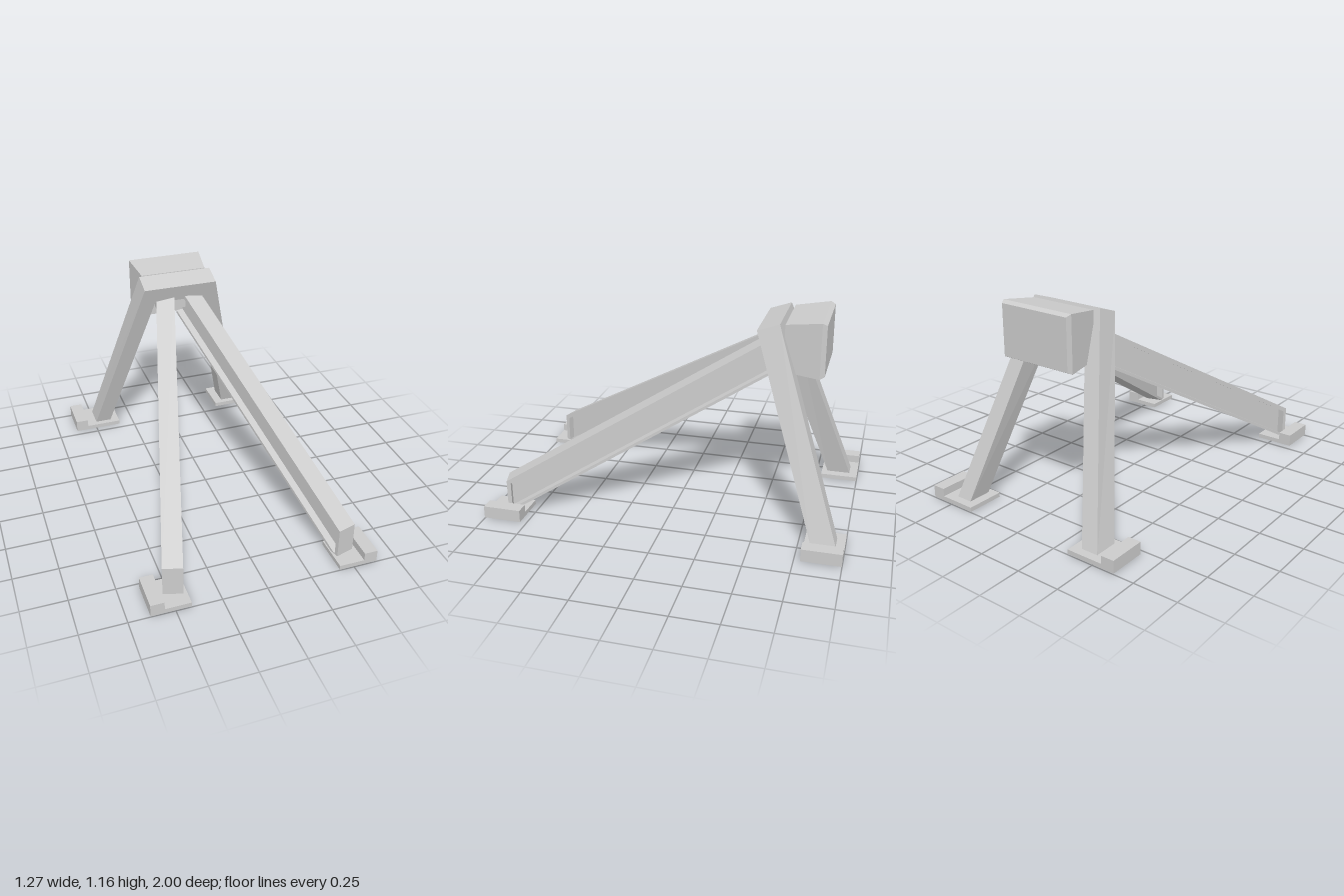
import * as THREE from 'three';

const mat = new THREE.MeshStandardMaterial({ color: 0xcccccc, flatShading: true });

function add(parent, name, geometry) {
  const mesh = new THREE.Mesh(geometry, mat);
  mesh.name = name;
  parent.add(mesh);
  return mesh;
}

// Box given by its minimum and maximum corners
function boxBetween(a, b) {
  return new THREE.BoxGeometry(b[0] - a[0], b[1] - a[1], b[2] - a[2])
    .translate((a[0] + b[0]) / 2, (a[1] + b[1]) / 2, (a[2] + b[2]) / 2);
}

function extrude(points, depth) {
  const shape = new THREE.Shape(points.map(([x, y]) => new THREE.Vector2(x, y)));
  return new THREE.ExtrudeGeometry(shape, { depth, bevelEnabled: false });
}

// Sloping I-beam: every piece is a sheared strip from s0 to s1, y0 to y1
function buildBeam(side) {
  const beam = new THREE.Group();
  const slope = 0.564, length = 1.55;
  const strip = (name, s0, s1, y0, y1, width) => {
    const pts = [[s0, s0 * slope + y0], [s1, s1 * slope + y0],
      [s1, s1 * slope + y1], [s0, s0 * slope + y1]];
    add(beam, name, extrude(pts, width).translate(0, 0, -width / 2));
  };
  strip('beamTopFlange', 0, length, 0.172, 0.2, 0.108);
  strip('beamWeb', 0.01, length, 0.01, 0.18, 0.024);
  strip('beamBottomFlange', 0, length, 0, 0.018, 0.108);
  strip('beamEndPlate', 0, 0.022, 0, 0.2, 0.108);
  beam.position.set(side * 0.487, 0, 0.91);
  beam.rotation.y = Math.atan2(0.961, -side * 0.276);
  return beam;
}

// Leaning rear frame: crossbar and two splayed legs in one outline
function rearFrame() {
  const half = [[0.22, 0], [0.5, -1.15], [0.403, -1.15], [0.15, -0.106]];
  const mirrored = half.map(([x, y]) => [-x, y]).reverse();
  const lean = 0.332;
  const geo = extrude([...half, ...mirrored], 0.127)
    .translate(0, 0, -0.127).rotateX(lean).translate(0, 1.1, -0.45);
  // trim the leg ends level with the feet
  const p = geo.attributes.position;
  for (let i = 0; i < p.count; i++) {
    if (p.getY(i) > 0.2) continue;
    p.setZ(i, p.getZ(i) + (0.01 - p.getY(i)) * Math.tan(lean));
    p.setY(i, 0.01);
  }
  geo.computeVertexNormals();
  return geo;
}

// Head block flaring to the back, with a bevelled rear edge
function headBlock() {
  const rings = [
    { z: -0.815, w: 0.212, y0: 0.87, y1: 1.15 },
    { z: -0.79, w: 0.224, y0: 0.857, y1: 1.163 },
    { z: -0.595, w: 0.198, y0: 0.875, y1: 1.135 },
  ];
  const geo = new THREE.BoxGeometry(1, 1, 1, 1, 1, 2).toNonIndexed();
  const p = geo.attributes.position;
  for (let i = 0; i < p.count; i++) {
    const r = rings[Math.round((p.getZ(i) + 0.5) * 2)];
    p.setXYZ(i, Math.sign(p.getX(i)) * r.w, p.getY(i) > 0 ? r.y1 : r.y0, r.z);
  }
  geo.computeVertexNormals();
  return geo;
}

export function createModel() {
  const model = new THREE.Group();
  model.name = 'stand';

  add(model, 'rearFrame', rearFrame());
  add(model, 'headBlock', headBlock());
  add(model, 'headConnector', boxBetween([-0.12, 0.92, -0.61], [0.12, 1.1, -0.54]));

  for (const side of [1, -1]) {
    const label = side > 0 ? 'left' : 'right';
    const beam = buildBeam(side);
    beam.name = label + 'FrontBeam';
    model.add(beam);

    // Feet: thin plate with a raised block on the outer edge
    for (const [end, inner, z0, z1] of [['Front', 0.415, 0.785, 1], ['Rear', 0.345, -1, -0.785]]) {
      const foot = new THREE.Group();
      foot.name = label + end + 'Foot';
      const part = (name, x0, x1, y1) => add(foot, name,
        boxBetween([Math.min(side * x0, side * x1), 0.005, z0],
          [Math.max(side * x0, side * x1), y1, z1]));
      part('footPlate', inner, 0.56, 0.03);
      part('footBlock', 0.558, 0.633, 0.075);
      model.add(foot);
    }
  }
  return model;
}
